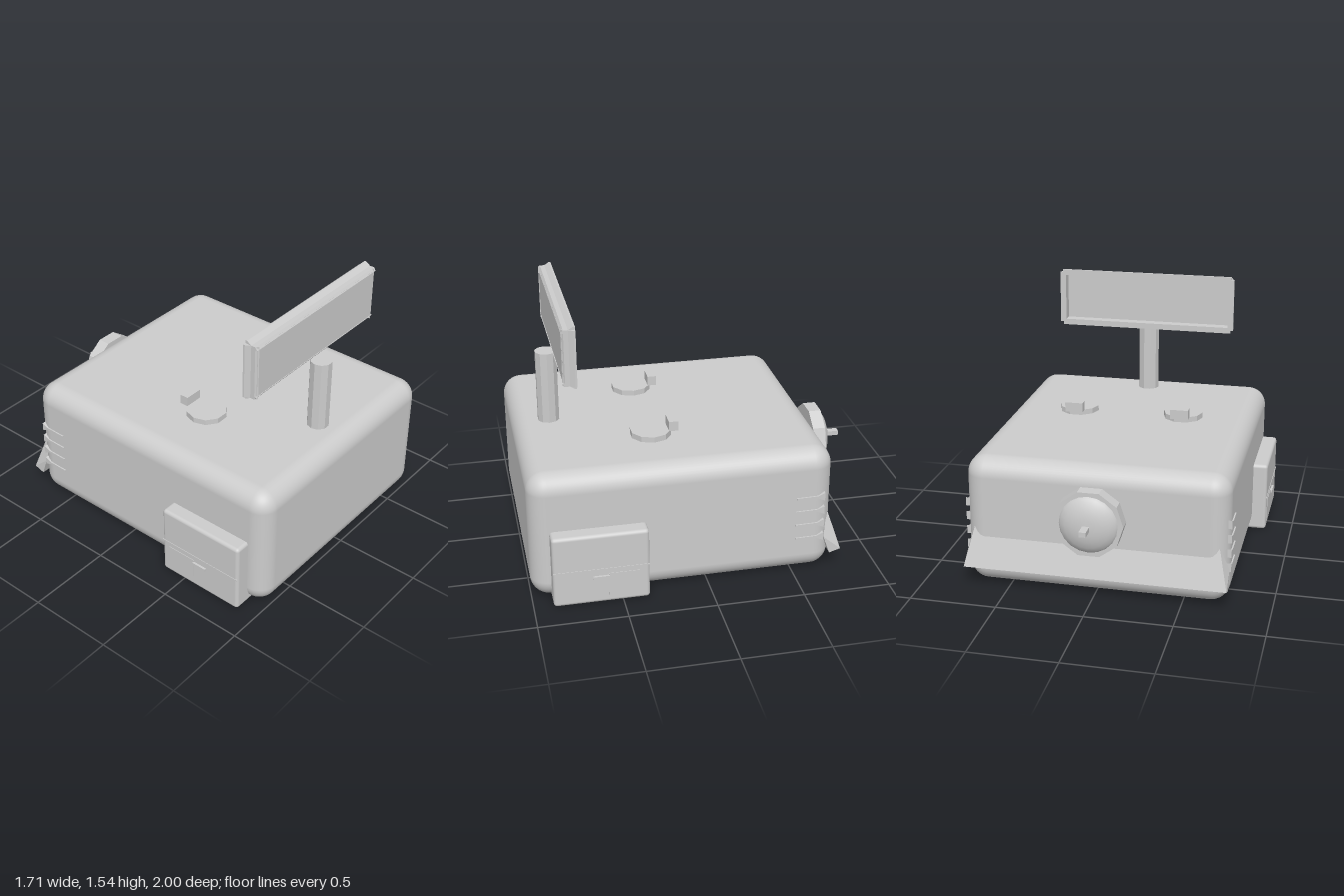
import * as THREE from 'three';
import { RoundedBoxGeometry } from 'three/addons/geometries/RoundedBoxGeometry.js';
import { ConvexGeometry } from 'three/addons/geometries/ConvexGeometry.js';

export function createModel() {
  const model = new THREE.Group();
  const grey = new THREE.MeshStandardMaterial({ color: 0xcccccc });
  grey.name = 'plain grey';

  function add(name, geometry, x = 0, y = 0, z = 0, parent = model) {
    const mesh = new THREE.Mesh(geometry, grey);
    mesh.name = name;
    mesh.position.set(x, y, z);
    parent.add(mesh);
    return mesh;
  }
  const box = (w, h, d) => new THREE.BoxGeometry(w, h, d);
  // Faceted ten-sided cylinder with corners on the x axis
  function decagon(r, h) {
    const g = new THREE.CylinderGeometry(r, r, h, 10).rotateY(Math.PI / 2).toNonIndexed();
    g.computeVertexNormals();
    return g;
  }

  // Main body
  add('body', new RoundedBoxGeometry(1.51, 0.76, 1.73, 5, 0.11), 0, 0.38, 0.135);

  // Sign post
  add('post', decagon(0.064, 0.45), 0, 0.965, 0.789);

  // Sign panel with stepped frame
  const sign = new THREE.Group();
  sign.name = 'sign';
  sign.position.y = 1.356;
  model.add(sign);
  add('signPanel', box(1.06, 0.3, 0.012), 0, 0, 0.747, sign);
  const profile = new THREE.Shape([
    [0.68, -0.018], [0.757, -0.018], [0.744, 0], [0.718, 0], [0.69, 0.018], [0.68, 0.018],
  ].map(([z, out]) => new THREE.Vector2(z, out)));
  for (let i = 0; i < 4; i++) {
    const [length, offset] = i % 2 ? [0.324, 0.54] : [1.08, 0.162];
    const bar = new THREE.ExtrudeGeometry(profile, { depth: length, bevelEnabled: false });
    bar.translate(0, offset, -length / 2).rotateY(-Math.PI / 2).rotateZ(i * Math.PI / 2);
    add('signFrameBar', bar, 0, 0, 0, sign);
  }

  // Fin outline: thin blade with a flared rear end (drawn as -z, y)
  const fin = new THREE.Shape([
    [0.51, -0.005], [0.635, -0.007], [0.675, -0.025], [0.675, 0.025], [0.635, 0.007], [0.51, 0.005],
  ].map(([z, y]) => new THREE.Vector2(z, y)));

  for (const side of [1, -1]) {
    // Top hatches with a small hinge block
    add('hatch', decagon(0.119, 0.035), side * 0.325, 0.775, 0.243);
    add('hatchBlock', box(0.108, 0.058, 0.054), side * 0.325, 0.819, 0.118);

    // Side lockers with seam, door and handle
    add('locker', new RoundedBoxGeometry(0.24, 0.43, 0.54, 3, 0.02), side * 0.722, 0.22, 0.62);
    add('lockerSeam', box(0.006, 0.007, 0.535), side * 0.842, 0.22, 0.62);
    add('lockerDoor', box(0.006, 0.14, 0.18), side * 0.842, 0.12, 0.49);
    add('lockerHandle', box(0.02, 0.016, 0.09), side * 0.845, 0.172, 0.623);

    // Rear side fins
    for (let i = 0; i < 4; i++) {
      const g = new THREE.ExtrudeGeometry(fin, { depth: 0.08, bevelEnabled: false });
      g.translate(0, 0, -0.04).rotateY(Math.PI / 2);
      add('fin', g, side * 0.723, 0.22 + i * 0.086, 0);
    }
  }

  // Slanted rear skirt with tapered ends
  const corners = [];
  for (const s of [1, -1]) {
    for (const [x, y, z] of [[0.755, 0.12, -0.785], [0.7, 0.36, -0.71], [0.755, 0.1, -0.72], [0.755, 0.21, -0.68]]) {
      corners.push(new THREE.Vector3(s * x, y, z));
    }
  }
  add('rearSkirt', new ConvexGeometry(corners));

  // Rear dish: drum, dome and stub
  const dish = new THREE.Group();
  dish.name = 'rearDish';
  dish.position.set(0, 0.488, -0.79);
  model.add(dish);
  add('dishDrum', decagon(0.196, 0.075).rotateX(-Math.PI / 2), 0, 0, -0.0375, dish);
  const dome = [[0.165, 0], [0.155, 0.014], [0.125, 0.033], [0.085, 0.047], [0.045, 0.054], [0, 0.056]];
  const domeGeometry = new THREE.LatheGeometry(dome.map(([r, h]) => new THREE.Vector2(r, h)), 20);
  add('dishDome', domeGeometry.rotateX(-Math.PI / 2), 0, 0, -0.075, dish);
  add('dishStub', box(0.04, 0.028, 0.1), 0, 0, -0.16, dish);

  return model;
}
